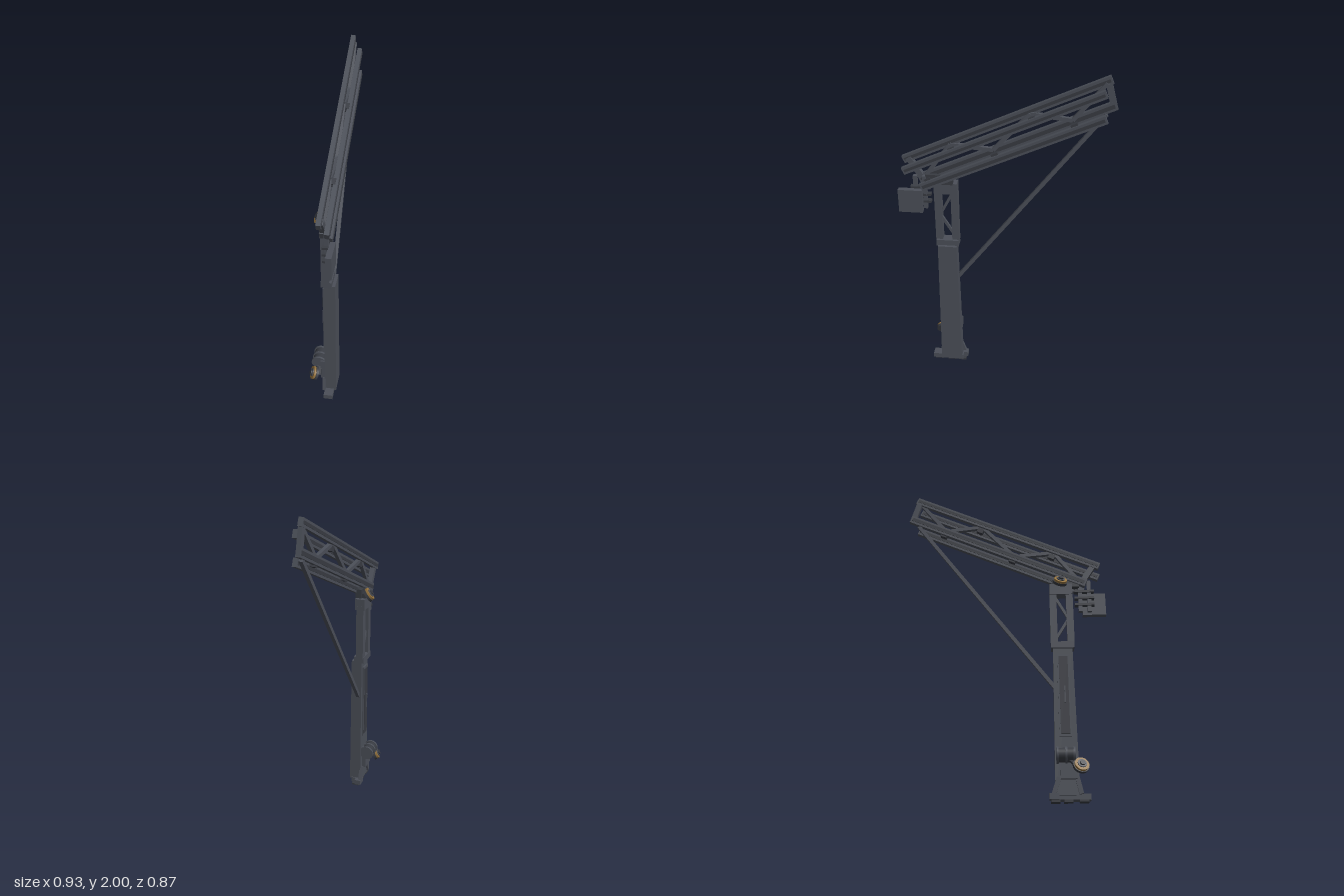
import * as THREE from 'three';

export function createModel() {
  const steel = new THREE.MeshStandardMaterial({ color: 0x4b4f58 });
  steel.name = 'slate steel';
  const dark = new THREE.MeshStandardMaterial({ color: 0x383b42 });
  dark.name = 'dark steel';
  const brass = new THREE.MeshStandardMaterial({ color: 0x94733f });
  brass.name = 'brass';

  const model = new THREE.Group();
  model.name = 'jibCrane';
  // The crane is built along x, then turned to stand diagonally
  const crane = new THREE.Group();
  crane.name = 'crane';
  crane.rotation.y = -Math.PI / 4;
  model.add(crane);

  function add(parent, name, geometry, material, x = 0, y = 0, z = 0) {
    const mesh = new THREE.Mesh(geometry, material);
    mesh.name = name;
    mesh.position.set(x, y, z);
    parent.add(mesh);
    return mesh;
  }
  // Box given by its extents
  function block(parent, name, x0, x1, y0, y1, z0, z1, material = steel) {
    return add(parent, name, new THREE.BoxGeometry(x1 - x0, y1 - y0, z1 - z0), material,
      (x0 + x1) / 2, (y0 + y1) / 2, (z0 + z1) / 2);
  }
  // Straight bar between two points of the xy plane
  function bar(parent, name, x0, y0, x1, y1, z, height, depth, material = steel) {
    const length = Math.hypot(x1 - x0, y1 - y0);
    const mesh = add(parent, name, new THREE.BoxGeometry(length, height, depth), material,
      (x0 + x1) / 2, (y0 + y1) / 2, z);
    mesh.rotation.z = Math.atan2(y1 - y0, x1 - x0);
    return mesh;
  }

  // Foot plate and brackets
  const cx = 0.336;
  block(crane, 'footPlate', 0.262, 0.462, 0.012, 0.045, -0.026, 0.03);
  block(crane, 'footPlateEnd', 0.235, 0.29, 0.012, 0.045, 0.005, 0.046);
  for (const x of [0.27, 0.34, 0.425]) block(crane, 'footPad', x - 0.025, x + 0.025, 0, 0.012, -0.018, 0.03, dark);
  for (const x of [0.26, 0.41]) bar(crane, 'footGusset', x, 0.04, x + (x < cx ? 0.03 : -0.02), 0.13, 0.036, 0.025, 0.02);

  // Tapered column
  const column = new THREE.BoxGeometry(0.135, 0.87, 0.074);
  const p = column.attributes.position;
  for (let i = 0; i < p.count; i++) {
    if (p.getY(i) > 0) p.setXYZ(i, p.getX(i) * 0.85, p.getY(i), p.getZ(i) * 0.9);
  }
  column.computeVertexNormals();
  add(crane, 'column', column, steel, cx, 0.47, -0.003);

  // Framed access panel on the column
  block(crane, 'panel', 0.3, 0.37, 0.36, 0.86, 0.025, 0.041);
  block(crane, 'panelInset', 0.309, 0.361, 0.375, 0.845, 0.038, 0.044, dark);
  block(crane, 'panelHandle', 0.335, 0.343, 0.56, 0.66, 0.042, 0.05);

  // Open lattice mast
  block(crane, 'mastCollar', 0.268, 0.404, 0.9, 0.94, -0.018, 0.046);
  for (const x of [0.287, 0.386]) block(crane, 'mastPost', x - 0.021, x + 0.021, 0.93, 1.28, -0.004, 0.042);
  bar(crane, 'mastBrace', 0.29, 0.95, 0.38, 1.1, 0.024, 0.016, 0.016);
  bar(crane, 'mastBrace', 0.38, 1.1, 0.29, 1.27, 0.01, 0.016, 0.016);
  block(crane, 'mastCap', 0.267, 0.405, 1.255, 1.325, -0.014, 0.048);
  block(crane, 'boomSeat', 0.29, 0.45, 1.32, 1.38, -0.02, 0.02, dark);

  // Boom: x runs from the raised tip to the rear, y is its depth
  const boom = new THREE.Group();
  boom.name = 'boom';
  boom.position.set(-0.57, 2, 0);
  boom.rotation.z = -0.424;
  crane.add(boom);
  const chords = [
    ['frontTopChord', 0, 1.27, -0.045, 0, 0.016],
    ['frontBottomChord', 0.028, 1.24, -0.19, -0.14, 0.016],
    ['backTopChord', 0.05, 1.29, -0.096, -0.052, -0.026],
    ['backBottomChord', 0.1, 1.24, -0.23, -0.183, -0.026],
  ];
  for (const [name, x0, x1, y0, y1, z] of chords) {
    block(boom, name, x0, x1, y0, y1, z - 0.013, z + 0.013);
    block(boom, name + 'Rib', x0 + 0.01, x1 - 0.01, y0 + 0.014, y1 - 0.014, z - 0.016, z + 0.016, dark);
  }
  bar(boom, 'tipPost', 0.019, -0.006, 0.046, -0.184, 0.016, 0.036, 0.024);
  bar(boom, 'rearPost', 1.235, -0.02, 1.215, -0.16, 0.01, 0.034, 0.03);

  // Zigzag lattice and the battens joining both sides
  const nodes = [[0.03, -0.03], [0.275, -0.155], [0.475, -0.035], [0.755, -0.155], [0.97, -0.035], [1.185, -0.155]];
  for (let i = 0; i < nodes.length - 1; i++) {
    bar(boom, 'lattice', ...nodes[i], ...nodes[i + 1], 0.004, 0.022, 0.022);
  }
  for (const [x, y] of nodes.slice(1)) {
    block(boom, 'batten', x - 0.02, x + 0.02, y - 0.045, y - 0.015, -0.026, 0.016, dark);
  }

  // Long stay from the tip down to the column
  bar(crane, 'stay', -0.562, 1.785, 0.285, 0.66, 0.008, 0.022, 0.022);

  // Counterweight with its hanger brackets
  block(crane, 'counterweight', 0.468, 0.61, 1.145, 1.29, -0.055, -0.022);
  for (const y of [1.205, 1.25, 1.295]) block(crane, 'hangerRib', 0.42, 0.54, y - 0.007, y + 0.007, -0.024, 0.008, dark);
  for (const x of [0.455, 0.51]) block(crane, 'hanger', x - 0.012, x + 0.012, 1.16, 1.37, -0.024, 0);

  // Sheave: dark rims, brass ring and hub on a tilted axis
  function sheave(name, x, y, z, r, tilt) {
    const g = new THREE.Group();
    g.name = name;
    g.position.set(x, y, z);
    g.quaternion.setFromUnitVectors(new THREE.Vector3(0, 1, 0), new THREE.Vector3(0.25, tilt, 0.85).normalize());
    const disc = (part, radius, h, at, material) =>
      add(g, part, new THREE.CylinderGeometry(radius, radius, h, 24), material, 0, at, 0);
    disc('rim', r, 0.016, -0.012, dark);
    disc('brassRing', r * 0.9, 0.014, 0.002, brass);
    disc('face', r * 0.56, 0.014, 0.007, steel);
    disc('hub', r * 0.34, 0.022, 0.012, dark);
    crane.add(g);
  }
  sheave('topSheave', 0.335, 1.345, 0.056, 0.045, 0.65);
  sheave('lowerSheave', 0.412, 0.185, 0.1, 0.045, 0.35);
  block(crane, 'topSheaveBracket', 0.3, 0.37, 1.29, 1.355, 0.01, 0.046, dark);

  // Winch at the foot of the column
  block(crane, 'winchMount', 0.3, 0.39, 0.12, 0.27, 0.02, 0.06);
  bar(crane, 'winchArm', 0.34, 0.24, 0.41, 0.17, 0.075, 0.03, 0.04, dark);
  const drum = (name, r, x0, x1, material) => {
    const mesh = add(crane, name, new THREE.CylinderGeometry(r, r, x1 - x0, 20), material, (x0 + x1) / 2, 0.245, 0.072);
    mesh.rotation.z = Math.PI / 2;
  };
  drum('winchDrum', 0.04, 0.28, 0.38, dark);
  for (const x of [0.278, 0.326, 0.37]) drum('drumFlange', 0.046, x, x + 0.012, steel);
  return model;
}
